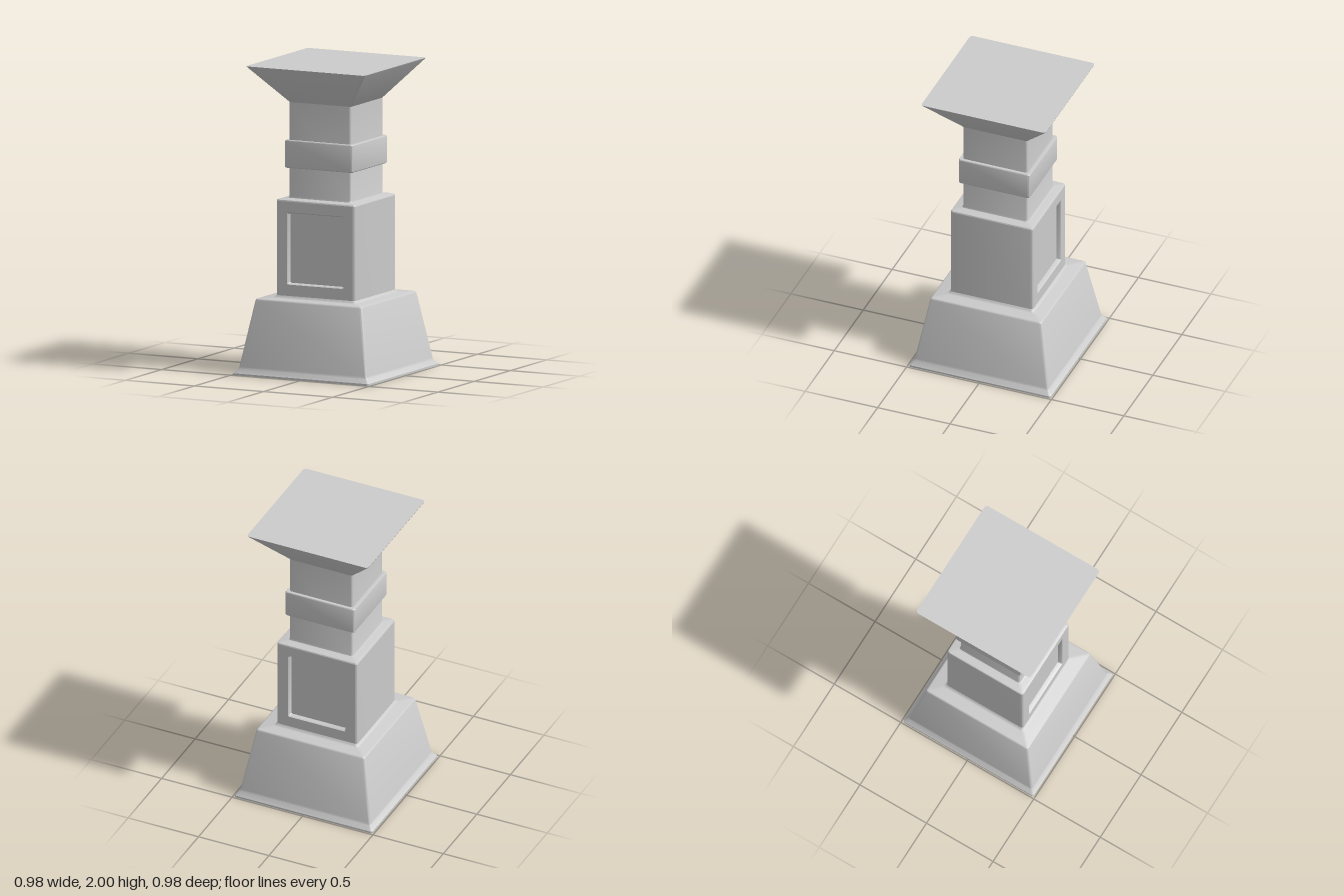
import * as THREE from 'three';
import { toCreasedNormals, mergeGeometries } from 'three/addons/utils/BufferGeometryUtils.js';

const N = 3; // segments per rounded corner
const material = new THREE.MeshStandardMaterial({ color: 0xcccccc });

// Rounded rectangle in the xz plane, starting on the +x side
function ring(hx, hz, r) {
  const pts = [];
  [[1, 1], [-1, 1], [-1, -1], [1, -1]].forEach(([sx, sz], k) => {
    for (let j = 0; j <= N; j++) {
      const a = (k + j / N) * Math.PI / 2;
      pts.push([sx * (hx - r) + r * Math.cos(a), sz * (hz - r) + r * Math.sin(a)]);
    }
  });
  return pts;
}

// Skin between rounded rectangles; each section is [hx, hz, y, r]
function loft(sections, { capStart = false, capEnd = false, skip = () => false } = {}) {
  const rings = sections.map(([hx, hz, y, r]) => ring(hx, hz, r).map(([x, z]) => [x, y, z]));
  const pos = [], n = rings[0].length;
  const tri = (a, b, c) => pos.push(...a, ...b, ...c);
  for (let s = 0; s + 1 < rings.length; s++) {
    for (let i = 0; i < n; i++) {
      if (skip(i)) continue;
      const j = (i + 1) % n, lo = rings[s], hi = rings[s + 1];
      tri(lo[i], hi[i], hi[j]);
      tri(lo[i], hi[j], lo[j]);
    }
  }
  const first = rings[0], last = rings[rings.length - 1];
  for (let i = 0; i < n; i++) {
    const j = (i + 1) % n;
    if (capStart) tri([0, first[0][1], 0], first[i], first[j]);
    if (capEnd) tri([0, last[0][1], 0], last[j], last[i]);
  }
  const g = new THREE.BufferGeometry();
  g.setAttribute('position', new THREE.Float32BufferAttribute(pos, 3));
  return toCreasedNormals(g, 0.65);
}

// Square sections from a [halfWidth, y] profile
const square = (profile, r = 0.015) => profile.map(([h, y]) => [h, h, y, r]);

function part(name, geometry) {
  const mesh = new THREE.Mesh(geometry, material);
  mesh.name = name;
  return mesh;
}

// Pedestal face with a sunken panel, facing +z
function panelFace(half, y0, y1) {
  const r = 0.015, cy = 0.815, depth = 0.03, hw = 0.205, hh = 0.235;
  const e = half - r;
  const shape = new THREE.Shape([[-e, y0], [e, y0], [e, y1], [-e, y1]].map(p => new THREE.Vector2(...p)));
  shape.holes.push(new THREE.Path(ring(hw, hh, 0.008).map(([x, z]) => new THREE.Vector2(x, cy - z))));
  const frame = new THREE.ShapeGeometry(shape).toNonIndexed();
  frame.deleteAttribute('uv');
  frame.translate(0, 0, half);
  const recess = loft([
    [hw, hh, half, 0.008],
    [hw - 0.005, hh - 0.005, half - 0.006, 0.008],
    [hw - 0.009, hh - 0.009, half - depth, 0.008],
  ], { capEnd: true });
  recess.rotateX(Math.PI / 2).translate(0, cy, 0);
  return mergeGeometries([frame, recess]);
}

export function createModel() {
  const group = new THREE.Group();
  group.name = 'pedestalColumn';

  // Flared foot with a tapered plinth
  group.add(part('base', loft(square([
    [0.49, 0], [0.49, 0.012], [0.466, 0.04], [0.462, 0.055],
    [0.386, 0.478], [0.382, 0.486], [0.374, 0.49],
    [0.303, 0.49], [0.292, 0.495], [0.285, 0.507],
  ]), { capStart: true })));

  // Square pedestal: the front and back flats are left open for the panels
  const half = 0.285, y0 = 0.507, y1 = 1.118;
  group.add(part('pedestalSides', loft(square([[half, y0], [half, y1]]), {
    skip: i => i % (2 * (N + 1)) === N,
  })));
  ['frontPanel', 'backPanel'].forEach((name, k) => {
    const face = part(name, panelFace(half, y0, y1));
    face.rotation.y = k * Math.PI;
    group.add(face);
  });

  // Shoulder ledge and shaft
  group.add(part('shaft', loft(square([
    [half, y1], [0.282, 1.126], [0.273, 1.13],
    [0.238, 1.13], [0.228, 1.134], [0.224, 1.145], [0.224, 1.755],
  ]))));

  // Raised collar around the shaft
  group.add(part('collar', loft(square([
    [0.222, 1.33], [0.242, 1.33], [0.246, 1.336],
    [0.246, 1.504], [0.242, 1.51], [0.222, 1.51],
  ]))));

  // Flaring capital with a flat top
  group.add(part('capital', loft([
    [0.224, 0.224, 1.755, 0.015], [0.427, 0.427, 1.993, 0.02], [0.43, 0.43, 2, 0.02],
  ], { capEnd: true })));

  return group;
}
